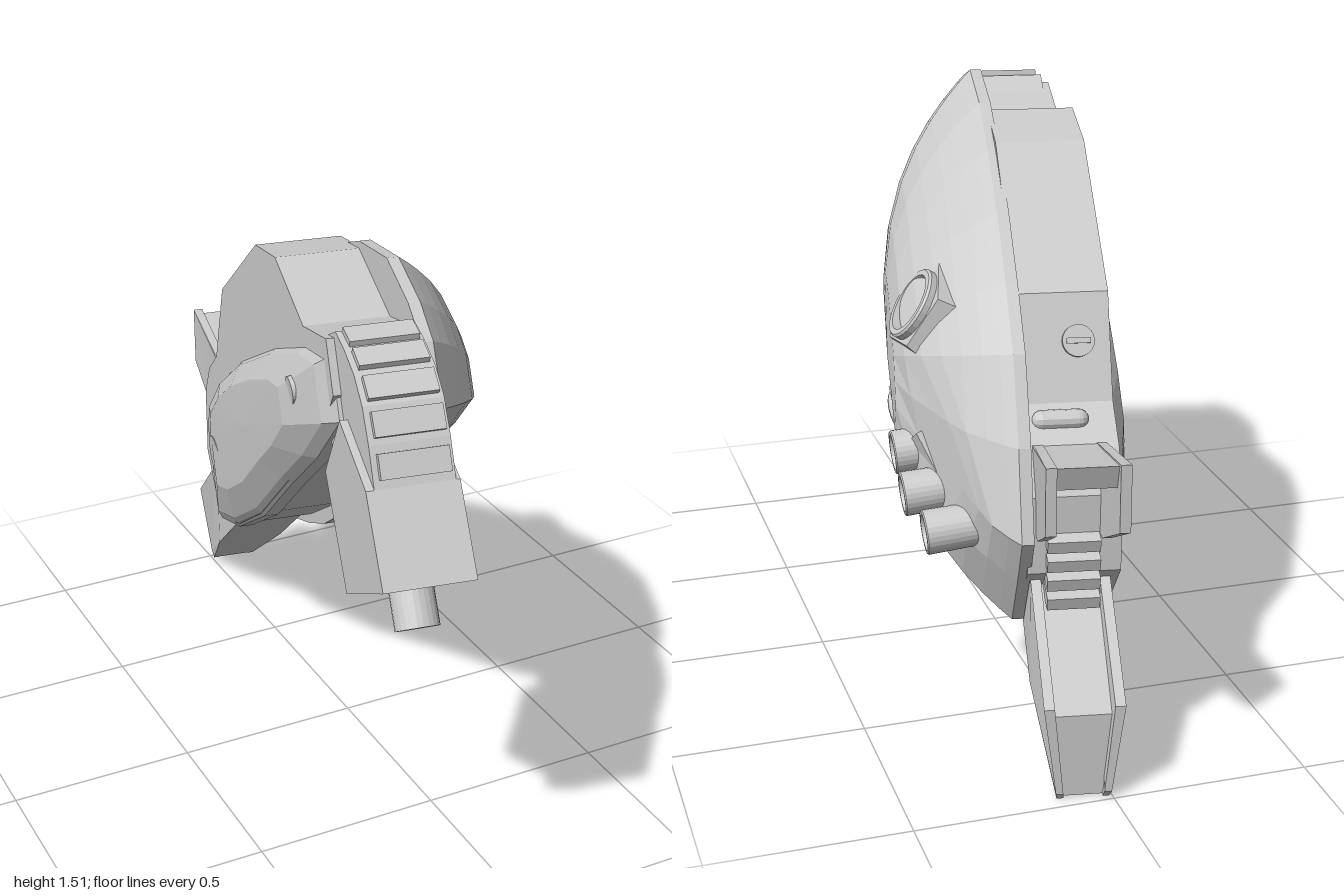
import * as THREE from 'three';

const mat = new THREE.MeshStandardMaterial({ color: 0xcccccc, flatShading: true });
const smooth = new THREE.MeshStandardMaterial({ color: 0xcccccc, side: THREE.DoubleSide });

function add(parent, geo, name, material = mat) {
  const mesh = new THREE.Mesh(geo, material);
  mesh.name = name;
  parent.add(mesh);
  return mesh;
}

// Side profile of [z, y] points, extruded across x from x0 to x1
function slab(parent, name, pts, x0, x1) {
  const shape = new THREE.Shape(pts.map(p => new THREE.Vector2(p[0], p[1])));
  const geo = new THREE.ExtrudeGeometry(shape, { depth: x1 - x0, bevelEnabled: false });
  geo.rotateY(-Math.PI / 2).translate(x1, 0, 0);
  return add(parent, geo, name);
}

// Closed shell from one outline repeated at [x, scale] levels about a centre, ending in a point
function shell(parent, name, outline, levels, [cz, cy]) {
  const n = outline.length, pos = [], idx = [];
  const flip = levels.at(-1)[0] < levels[0][0];
  for (const [x, s] of levels)
    for (const [z, y] of outline) pos.push(x, cy + (y - cy) * s, cz + (z - cz) * s);
  const tri = (a, b, c) => flip ? idx.push(a, c, b) : idx.push(a, b, c);
  for (let k = 0; k < levels.length - 1; k++)
    for (let i = 0; i < n; i++) {
      const j = (i + 1) % n, a = k * n + i, b = k * n + j;
      tri(a, a + n, b);
      tri(b, a + n, b + n);
    }
  const geo = new THREE.BufferGeometry();
  geo.setAttribute('position', new THREE.Float32BufferAttribute(pos, 3));
  geo.setIndex(idx);
  geo.computeVertexNormals();
  return add(parent, geo, name);
}

// Moves each vertex sideways by a rule
function warp({ geometry }, rule) {
  const p = geometry.attributes.position;
  for (let i = 0; i < p.count; i++) p.setX(i, rule(p.getX(i), p.getY(i), p.getZ(i)));
  geometry.computeVertexNormals();
}

// Group whose +y axis points along dir
function aimed(parent, name, at, dir) {
  const g = new THREE.Group();
  g.name = name;
  g.position.set(...at);
  g.quaternion.setFromUnitVectors(new THREE.Vector3(0, 1, 0), new THREE.Vector3(...dir).normalize());
  parent.add(g);
  return g;
}

// Round thruster with stepped bore
function nozzle(parent, r, length) {
  const profile = [[0.97, -length / r], [1, -0.06], [0.95, 0], [0.8, 0], [0.74, -0.25], [0.6, -0.25],
    [0.55, -0.5], [0.36, -0.5], [0.33, -0.35], [0.22, -0.3], [0, -0.3]];
  const geo = new THREE.LatheGeometry(profile.map(([a, b]) => new THREE.Vector2(a * r, b * r)), 28);
  const flat = geo.toNonIndexed();
  flat.computeVertexNormals();
  return add(parent, flat, 'nozzle', smooth);
}

export function createModel() {
  const root = new THREE.Group();
  root.name = 'armourPod';
  const body = new THREE.Group();
  body.name = 'body';
  body.rotation.y = -0.175;
  root.add(body);

  // Domed outer shell, planed off toward the rear
  const rim = [[0.68, 1.26], [0.6, 1.4], [0.5, 1.46], [0.33, 1.51], [0.1, 1.47], [-0.1, 1.39], [-0.3, 1.28],
    [-0.48, 1.15], [-0.63, 1.02], [-0.74, 0.82], [-0.81, 0.6], [-0.73, 0.47], [-0.62, 0.31], [-0.4, 0.4],
    [-0.24, 0.48], [-0.08, 0.59], [0.1, 0.74], [0.3, 0.91], [0.52, 1.1]];
  const dome = [[0, 0], [0, 1], [0.03, 1]];
  for (const s of [0.96, 0.9, 0.82, 0.72, 0.6, 0.45, 0.28, 0]) dome.push([0.03 + 0.275 * (1 - s ** 2.75), s]);
  warp(shell(body, 'outerShell', rim, dome, [-0.2, 0.88]), (x, y, z) => Math.min(x, 0.05 + 0.55 * (z + 0.83)));

  // Central core between the two side armours
  slab(body, 'core', [[0.62, 1.3], [0.56, 1.42], [0.36, 1.37], [0.1, 1.45], [-0.1, 1.41], [-0.5, 1.13],
    [-0.6, 0.88], [-0.7, 0.8], [-0.76, 0.7], [-0.76, 0.5], [-0.62, 0.36], [-0.38, 0.44], [-0.1, 0.62],
    [0.2, 0.87], [0.5, 1.13]], -0.22, 0.01);

  // Inner side plate, bevelled all round
  const inner = [[0.64, 1.24], [0.57, 1.38], [0.4, 1.34], [0.1, 1.21], [-0.28, 1.01], [-0.55, 0.83], [-0.72, 0.67],
    [-0.74, 0.58], [-0.63, 0.33], [-0.4, 0.42], [-0.1, 0.61], [0.2, 0.86], [0.44, 1.05]];
  shell(body, 'innerPlate', inner, [[-0.17, 0], [-0.17, 1], [-0.21, 1], [-0.235, 0.9], [-0.275, 0.6], [-0.28, 0]], [-0.06, 0.92]);
  for (const [z, y, r, x] of [[-0.42, 0.63, 0.08, -0.255], [0.39, 1.22, 0.035, -0.25]]) {
    const cap = aimed(body, 'innerPlateCap', [x, y, z], [-1, -0.1, 0]);
    add(cap, new THREE.CylinderGeometry(r, r, 0.03, 24), 'disc');
  }

  // Screw and latch on the stepped rear of the core
  const screw = aimed(body, 'rearScrew', [-0.14, 1.02, -0.547], [0, 0.4, -0.92]);
  add(screw, new THREE.CylinderGeometry(0.04, 0.04, 0.02, 20), 'screwHead');
  add(screw, new THREE.BoxGeometry(0.06, 0.03, 0.014), 'screwBar');
  const latch = aimed(body, 'rearLatch', [-0.085, 0.85, -0.635], [0, 0.8, -0.6]);
  const bar = add(latch, new THREE.CapsuleGeometry(0.025, 0.09, 4, 12), 'latchBar');
  bar.rotation.z = Math.PI / 2;

  // Curved neck with slats, carrying the muzzle block
  const arc = [[0.57, 1.44], [0.64, 1.425], [0.72, 1.395], [0.785, 1.345], [0.835, 1.27], [0.88, 1.18]];
  slab(body, 'neck', [[0.36, 1.3], [0.42, 1.36], ...arc, [0.62, 1.06]], -0.2, -0.005);
  for (let i = 0; i < arc.length - 1; i++) {
    const [[z0, y0], [z1, y1]] = [arc[i], arc[i + 1]];
    const slat = add(body, new THREE.BoxGeometry(0.17, 0.03, 0.06), 'neckSlat');
    slat.position.set(-0.1, (y0 + y1) / 2, (z0 + z1) / 2);
    slat.rotation.x = Math.atan2(y0 - y1, z1 - z0);
  }
  slab(body, 'muzzleBlock', [[0.67, 1.26], [0.88, 1.18], [1.015, 0.99], [0.73, 0.83], [0.55, 1.07]], -0.22, 0.005);
  const muzzle = aimed(body, 'muzzle', [-0.1, 0.87, 0.87], [0, -0.83, 0.55]);
  add(muzzle, new THREE.CylinderGeometry(0.054, 0.054, 0.13, 24), 'muzzleTube');

  // Thin fin splayed out under the shell
  warp(slab(body, 'lowerFin', [[0.18, 0.78], [0.18, 0.62], [-0.13, 0.46], [-0.21, 0.48], [-0.25, 0.6]], 0.08, 0.1),
    (x, y) => x + 0.32 * (0.78 - y));

  // Tail fins: filled middle between two side walls that stand proud at the end
  const tail = (name, outer, fill, taper) => {
    const parts = [slab(body, name + 'Fill', fill, -0.175, -0.025)];
    for (const x of [-0.195, -0.03]) parts.push(slab(body, name + 'Wall', outer, x, x + 0.025));
    for (const part of parts) warp(part, (x, y, z) => -0.1 + (x + 0.1) * taper(y, z));
  };
  tail('lowerTail', [[-0.5, 0.5], [-0.44, 0.42], [-0.73, 0.19], [-0.97, 0], [-0.985, 0.02], [-0.985, 0.25], [-0.73, 0.47]],
    [[-0.5, 0.5], [-0.44, 0.42], [-0.73, 0.19], [-0.965, 0.004], [-0.965, 0.22], [-0.73, 0.44]],
    y => 0.68 + 0.36 * Math.min(1, y / 0.19));
  tail('upperTail', [[-0.66, 0.8], [-0.74, 0.82], [-0.985, 0.87], [-0.985, 0.7], [-0.79, 0.6], [-0.66, 0.6]],
    [[-0.66, 0.8], [-0.74, 0.815], [-0.97, 0.862], [-0.95, 0.8], [-0.76, 0.72]],
    (y, z) => 0.95 + 0.1 * (z < -0.9));

  // Rear louvres
  for (let i = 0; i < 4; i++) {
    const slat = add(body, new THREE.BoxGeometry(0.13, 0.034, 0.08), 'rearLouvre');
    slat.position.set(-0.1, 0.44 + i * 0.05, -0.75);
    slat.rotation.x = -0.3;
  }

  // Large vents sunk into angled housings
  const vents = [[[0.23, 1.05, -0.335], [0.84, 0.53, -0.12], 0.095], [[0.23, 0.685, -0.1], [0.78, -0.48, 0.4], 0.078]];
  for (const [at, dir, r] of vents) {
    const vent = aimed(body, 'largeVent', at, dir);
    const housing = add(vent, new THREE.CylinderGeometry(r * 1.3, r * 1.5, 0.07, 5), 'ventHousing');
    housing.position.y = -0.025;
    nozzle(vent, r, 0.1).position.y = 0.032;
  }

  // Row of three small thrusters on a backing plate
  const row = [[0.31, 0.695, -0.42], [0.295, 0.625, -0.525], [0.25, 0.565, -0.63]];
  for (const at of row) nozzle(aimed(body, 'smallThruster', at, [1, -0.1, -0.08]), 0.056, 0.13);
  const base = aimed(body, 'thrusterBase', [0.175, 0.625, -0.515], [1, -0.28, -0.42]);
  const plate = add(base, new THREE.BoxGeometry(0.1, 0.05, 0.32), 'thrusterPlate');
  plate.rotation.y = -0.55;

  return root;
}
